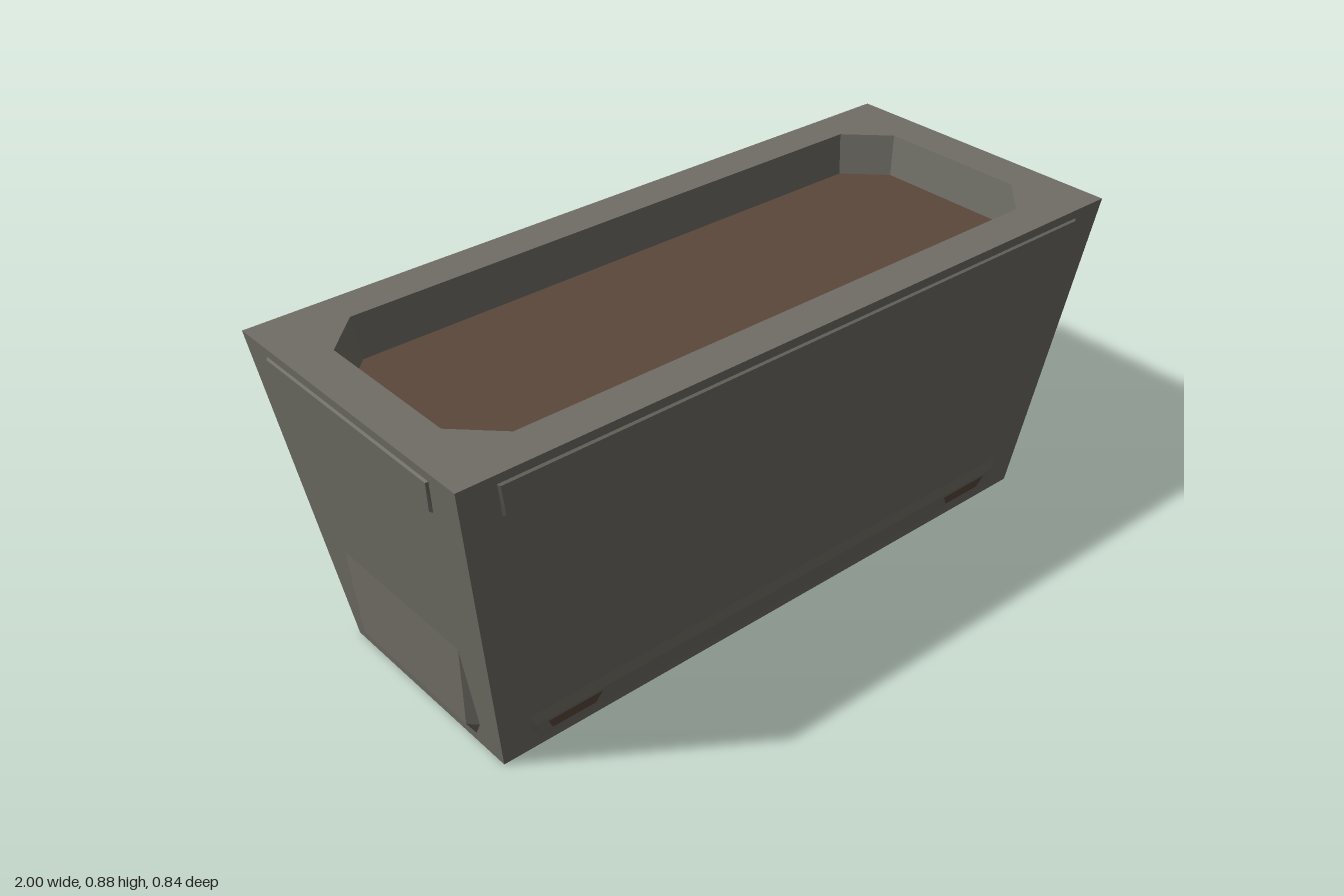
import * as THREE from 'three';

const H = 0.875, BX = 0.87, BZ = 0.31, TX = 1, TZ = 0.42;

// Flat-shaded mesh from convex polygons (counter-clockwise from outside)
function polyMesh(name, polys, material) {
  const pos = [], a = new THREE.Vector3(), b = new THREE.Vector3();
  for (const p of polys) {
    for (let i = 1; i < p.length - 1; i++) {
      a.subVectors(p[i], p[0]);
      b.subVectors(p[i + 1], p[0]);
      if (a.cross(b).length() < 1e-9) continue;
      for (const v of [p[0], p[i], p[i + 1]]) pos.push(v.x, v.y, v.z);
    }
  }
  const g = new THREE.BufferGeometry();
  g.setAttribute('position', new THREE.Float32BufferAttribute(pos, 3));
  g.computeVertexNormals();
  const m = new THREE.Mesh(g, material);
  m.name = name;
  return m;
}

// Quads joining two closed loops
const band = (r0, r1) => r0.map((p, i) => {
  const j = (i + 1) % r0.length;
  return [p, r0[j], r1[j], r1[i]];
});

// Rectangle with chamfered corners, counter-clockwise seen from above
function ring(x, z, cx, cz, y) {
  return [[x, z - cz], [x, cz - z], [x - cx, -z], [cx - x, -z],
    [-x, cz - z], [-x, z - cz], [cx - x, z], [x - cx, z]]
    .map(([px, pz]) => new THREE.Vector3(px, y, pz));
}

export function createModel() {
  const concrete = new THREE.MeshStandardMaterial({ color: 0x706e65 });
  concrete.name = 'concrete';
  const earth = new THREE.MeshStandardMaterial({ color: 0x5b483c });
  earth.name = 'earth';
  const model = new THREE.Group();
  model.name = 'planter';

  // Tapered trough with an octagonal opening
  const foot = ring(BX, BZ, 0, 0, 0), top = ring(TX, TZ, 0, 0, H);
  const lip = ring(0.89, 0.315, 0.105, 0.105, H);
  const floor = ring(0.873, 0.3, 0.1, 0.1, 0.765);
  model.add(polyMesh('trough', [...band(foot, top), ...band(top, lip),
    ...band(lip, floor), [...foot].reverse()], concrete));
  model.add(polyMesh('soil', [floor], earth));

  // Details on each sloping wall, in coordinates (across, height, offset from wall)
  function addWall(name, angle, base, slope, panel, wedge, drains) {
    const wall = new THREE.Group();
    wall.name = name;
    wall.rotation.y = angle;
    const P = (u, y, o) => new THREE.Vector3(u, y, base + slope * y + o);

    // Bevelled panel below the rim
    const [pt, pb] = panel;
    const outer = [P(-pb, 0.758, 0), P(pb, 0.758, 0), P(pt, 0.85, 0), P(-pt, 0.85, 0)];
    const e = 0.005;
    const inner = [P(e - pb, 0.762, 0.006), P(pb - e, 0.762, 0.006),
      P(pt - e, 0.846, 0.006), P(e - pt, 0.846, 0.006)];
    wall.add(polyMesh('rimPanel', [...band(outer, inner), inner], concrete));

    // Wedge-shaped foot swelling out near the ground
    const { t, m, r, b, yt, yb, out } = wedge, ym = 0.08;
    const half = (s) => [P(s * t, yt, 0), P(s * m, ym, 0), P(s * r, ym, out), P(s * b, yb, 0)];
    const [lt, lm, lr, lb] = half(-1), [rt, rm, rr, rb] = half(1);
    wall.add(polyMesh('footWedge', [[lr, rr, rt, lt], [lb, rb, rr, lr],
      [lm, lr, lt], [lm, lb, lr], [rm, rt, rr], [rm, rr, rb]], concrete));

    // Drain patches on the lower slope
    if (drains) {
      for (const s of [-1, 1]) {
        const x = s * 0.672;
        wall.add(polyMesh('drainPatch', [[P(x - 0.063, 0.04, 0.004), P(x + 0.063, 0.04, 0.004),
          P(x + 0.08, 0.072, 0.007), P(x - 0.08, 0.072, 0.007)]], earth));
      }
    }
    model.add(wall);
  }

  const longFoot = { t: 0.8, m: 0.8, r: 0.785, b: 0.765, yt: 0.112, yb: 0.02, out: 0.006 };
  const endFoot = { t: 0.236, m: 0.24, r: 0.217, b: 0.21, yt: 0.32, yb: 0.03, out: 0.022 };
  for (const [i, side] of ['front', 'back'].entries()) {
    addWall(side + 'Wall', i * Math.PI, BZ, (TZ - BZ) / H, [0.9, 0.885], longFoot, true);
  }
  for (const [i, side] of ['left', 'right'].entries()) {
    addWall(side + 'Wall', Math.PI / 2 + i * Math.PI, BX, (TX - BX) / H, [0.32, 0.303], endFoot, false);
  }
  return model;
}
